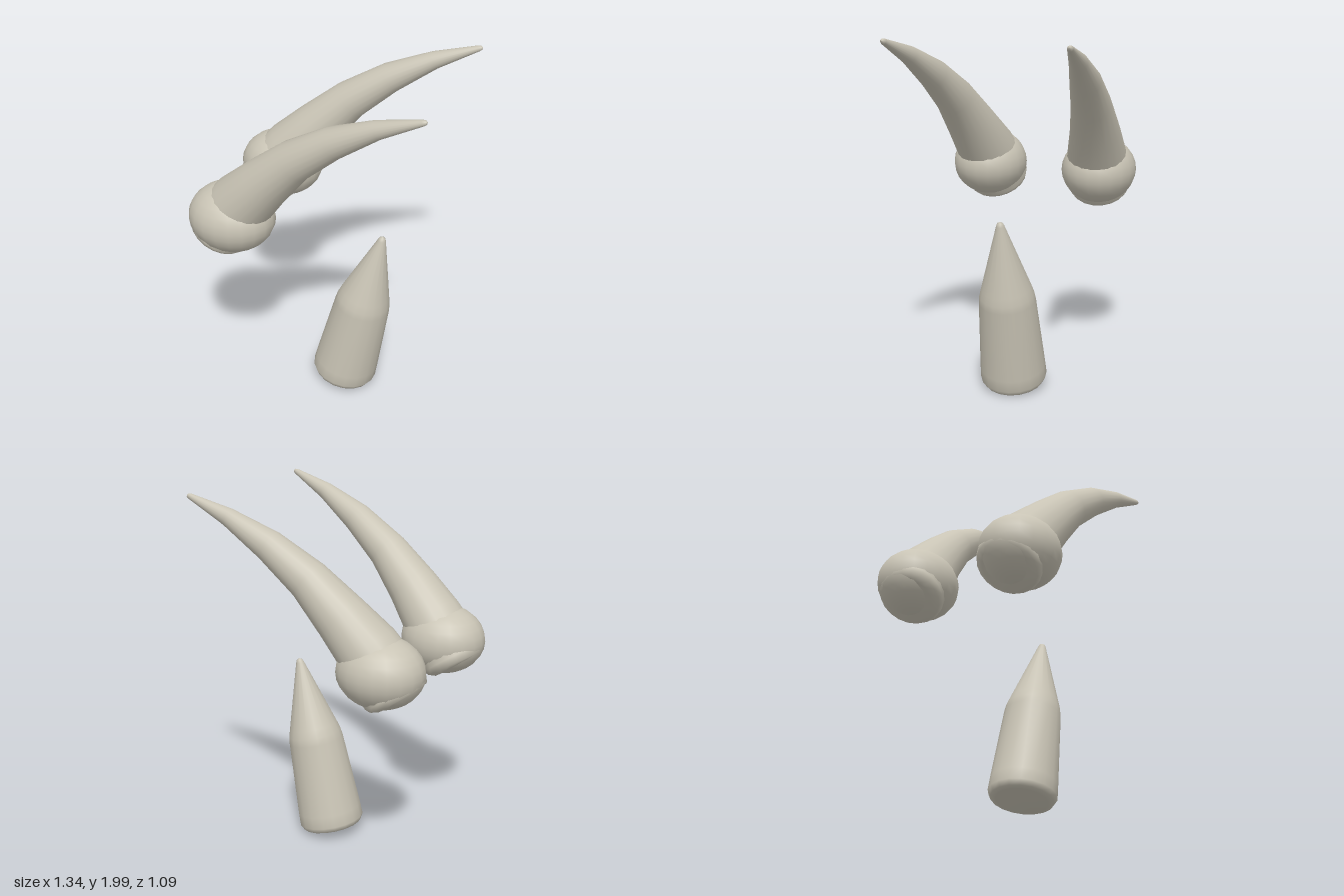
import * as THREE from 'three';

const ivory = new THREE.MeshStandardMaterial({ color: 0xc9c4b5 });
ivory.name = 'ivory';

// Skin round cross-sections [x, y, z, radius], each square to the local path
function sweep(rings, sides) {
  const pos = [], index = [];
  const centres = rings.map(([x, y, z]) => new THREE.Vector3(x, y, z));
  const last = rings.length - 1;
  rings.forEach((ring, i) => {
    const t = centres[Math.min(i + 1, last)].clone().sub(centres[Math.max(i - 1, 0)]).normalize();
    const u = new THREE.Vector3(0, 0, 1).addScaledVector(t, -t.z).normalize();
    const v = t.clone().cross(u);
    for (let j = 0; j < sides; j++) {
      const a = (j / sides) * Math.PI * 2;
      const p = centres[i].clone()
        .addScaledVector(u, ring[3] * Math.cos(a))
        .addScaledVector(v, ring[3] * Math.sin(a));
      pos.push(p.x, p.y, p.z);
      if (i < last) {
        const k = (j + 1) % sides;
        const a0 = i * sides + j, a1 = i * sides + k;
        const b0 = a0 + sides, b1 = a1 + sides;
        if (ring[3] > 0) index.push(a0, a1, b1);
        if (rings[i + 1][3] > 0) index.push(a0, b1, b0);
        else if (ring[3] === 0) continue;
      }
    }
  });
  const g = new THREE.BufferGeometry();
  g.setAttribute('position', new THREE.Float32BufferAttribute(pos, 3));
  g.setIndex(index);
  g.computeVertexNormals();
  return g;
}

function part(name, geometry, parent) {
  const mesh = new THREE.Mesh(geometry, ivory);
  mesh.name = name;
  parent.add(mesh);
  return mesh;
}

// Curved horn with a rounded root, leaning outward in z
const HORN = [
  [-0.535, 1.042, 0.313, 0],
  [-0.532, 1.046, 0.313, 0.13],
  [-0.524, 1.058, 0.314, 0.165],
  [-0.508, 1.085, 0.316, 0.179],
  [-0.44, 1.18, 0.325, 0.178],
  [-0.355, 1.29, 0.338, 0.167],
  [-0.215, 1.44, 0.365, 0.14],
  [-0.035, 1.615, 0.392, 0.11],
  [0.185, 1.77, 0.422, 0.083],
  [0.42, 1.895, 0.452, 0.048],
  [0.645, 1.983, 0.479, 0.016],
  [0.66, 1.988, 0.48, 0.011],
  [0.667, 1.991, 0.481, 0],
];

// Straight spike: rounded foot, tapering shaft, conical point
const SPIKE = [
  [0.085, 0.034, 0, 0],
  [0.086, 0.038, 0, 0.14],
  [0.088, 0.046, 0, 0.17],
  [0.094, 0.075, 0, 0.186],
  [0.108, 0.14, 0, 0.183],
  [0.197, 0.55, 0, 0.157],
  [0.206, 0.59, 0, 0.151],
  [0.216, 0.632, 0, 0.138],
  [0.303, 0.997, 0, 0.023],
  [0.307, 1.013, 0, 0.016],
  [0.309, 1.022, 0, 0],
];

export function createModel() {
  const model = new THREE.Group();
  model.name = 'hornsAndSpike';

  for (const side of [1, -1]) {
    const horn = new THREE.Group();
    horn.name = side > 0 ? 'frontHorn' : 'backHorn';
    part('hornShaft', sweep(HORN.map(([x, y, z, r]) => [x, y, z * side, r]), 20), horn);
    // Slightly flattened bulb around the root
    const bulb = part('hornBulb', new THREE.SphereGeometry(1, 20, 14), horn);
    bulb.scale.set(0.238, 0.19, 0.212);
    bulb.position.set(-0.43, 1.18, 0.333 * side);
    model.add(horn);
  }

  part('spike', sweep(SPIKE, 18), model);
  return model;
}
